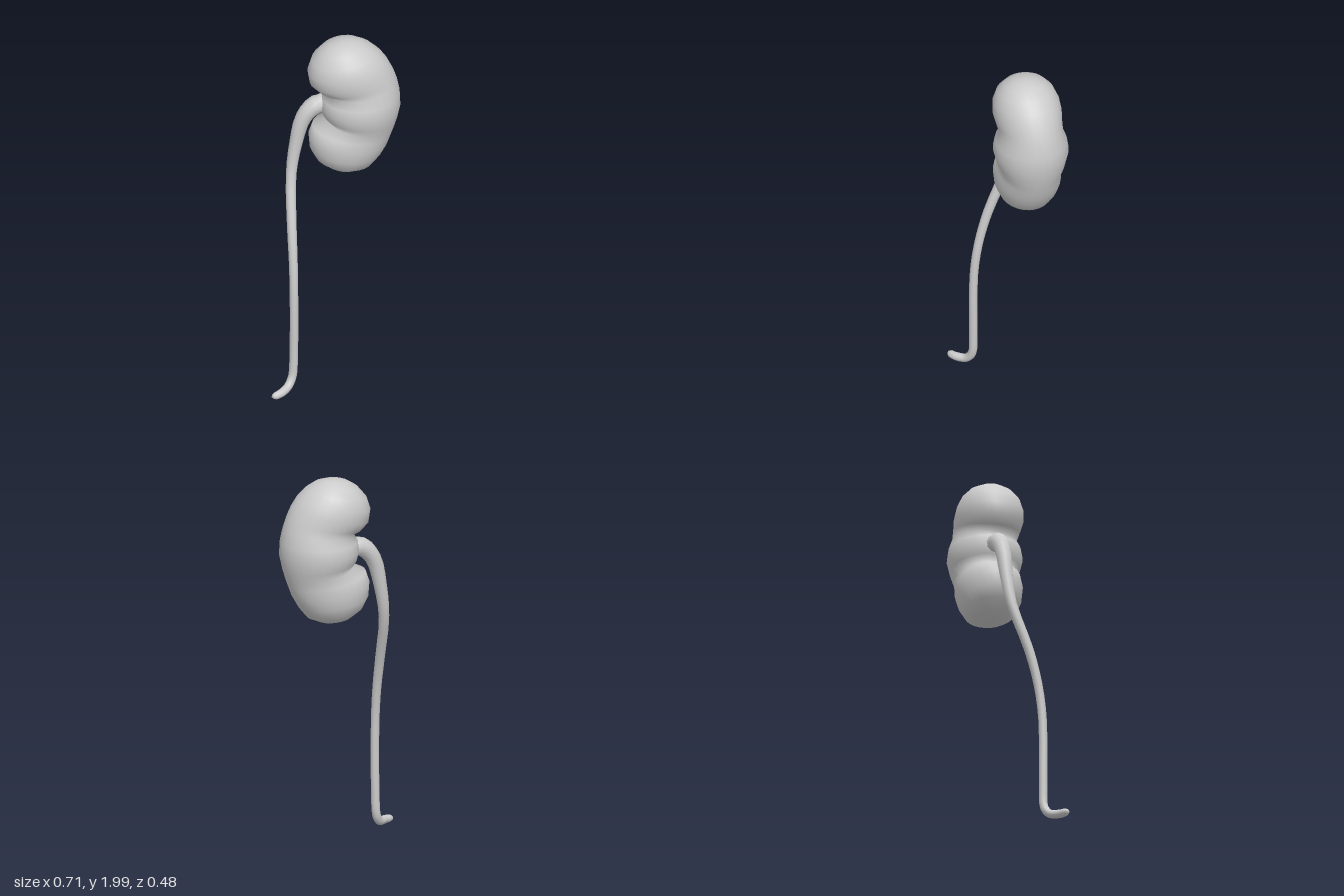
import * as THREE from 'three';

// Skins closed rings of points, with a pole point at each end
function loft(rings, startPole, endPole) {
  const n = rings[0].length, pos = [], index = [];
  for (const ring of rings) for (const p of ring) pos.push(p.x, p.y, p.z);
  for (let i = 0; i < rings.length - 1; i++) {
    for (let j = 0; j < n; j++) {
      const a = i * n + j, b = i * n + (j + 1) % n;
      index.push(a, a + n, b, b, a + n, b + n);
    }
  }
  const first = rings.length * n, last = (rings.length - 1) * n;
  pos.push(startPole.x, startPole.y, startPole.z, endPole.x, endPole.y, endPole.z);
  for (let j = 0; j < n; j++) {
    const k = (j + 1) % n;
    index.push(first, j, k, first + 1, last + k, last + j);
  }
  const g = new THREE.BufferGeometry();
  g.setAttribute('position', new THREE.Float32BufferAttribute(pos, 3));
  g.setIndex(index);
  g.computeVertexNormals();
  return g;
}

// Kidney sections from bottom to top: inner x, y, outer x, y, half depth
const sections = [
  [-0.03, 1.262, 0.15, 1.241, 0.085],
  [-0.085, 1.31, 0.21, 1.268, 0.135],
  [-0.115, 1.37, 0.255, 1.325, 0.16],
  [-0.12, 1.44, 0.288, 1.385, 0.17],
  [-0.1, 1.5, 0.306, 1.435, 0.165],
  [-0.025, 1.535, 0.32, 1.475, 0.158],
  [-0.05, 1.57, 0.336, 1.53, 0.177],
  [-0.062, 1.62, 0.353, 1.61, 0.193],
  [-0.055, 1.67, 0.35, 1.68, 0.183],
  [-0.03, 1.71, 0.336, 1.75, 0.162],
  [-0.075, 1.724, 0.318, 1.805, 0.166],
  [-0.115, 1.765, 0.292, 1.86, 0.174],
  [-0.125, 1.83, 0.258, 1.91, 0.168],
  [-0.105, 1.895, 0.21, 1.955, 0.145],
  [-0.06, 1.95, 0.16, 1.984, 0.105],
  [-0.01, 1.983, 0.115, 1.997, 0.055],
];

function kidneyGeometry() {
  const z0 = -0.05, sides = 28;
  const rings = sections.map(([xi, yi, xo, yo, d]) =>
    Array.from({ length: sides }, (_, j) => {
      const a = (j / sides) * Math.PI * 2, t = (1 + Math.cos(a)) / 2;
      return new THREE.Vector3(xi + (xo - xi) * t, yi + (yo - yi) * t, z0 - d * Math.sin(a));
    }));
  return loft(rings, new THREE.Vector3(0.06, 1.238, z0), new THREE.Vector3(0.055, 2, z0));
}

// Ureter path: x, y, z, radius
const path = [
  [0.0, 1.625, -0.06, 0.052],
  [-0.08, 1.62, -0.06, 0.05],
  [-0.145, 1.55, -0.058, 0.042],
  [-0.185, 1.4, -0.055, 0.034],
  [-0.213, 1.22, -0.035, 0.027],
  [-0.224, 0.97, 0.055, 0.025],
  [-0.224, 0.78, 0.105, 0.023],
  [-0.224, 0.58, 0.13, 0.022],
  [-0.226, 0.2, 0.132, 0.022],
  [-0.233, 0.09, 0.135, 0.022],
  [-0.258, 0.046, 0.158, 0.022],
  [-0.298, 0.036, 0.198, 0.022],
  [-0.33, 0.033, 0.215, 0.02],
  [-0.346, 0.031, 0.219, 0.013],
];

function ureterGeometry() {
  const sides = 12, steps = 39;
  const points = path.map(([x, y, z]) => new THREE.Vector3(x, y, z));
  const curve = new THREE.CatmullRomCurve3(points, false, 'centripetal');
  const up = new THREE.Vector3(1, 0, -1).normalize();
  const side = up.clone().cross(new THREE.Vector3(0, 1, 0)).normalize();
  const rings = [];
  for (let i = 0; i <= steps; i++) {
    const t = i / steps, k = t * (path.length - 1);
    const i0 = Math.min(Math.floor(k), path.length - 2);
    const r = THREE.MathUtils.lerp(path[i0][3], path[i0 + 1][3], k - i0);
    const p = curve.getPoint(t), tangent = curve.getTangent(t);
    // Frame kept stable by projecting a fixed sideways direction
    const u = side.clone().addScaledVector(tangent, -side.dot(tangent)).normalize();
    const v = tangent.clone().cross(u);
    rings.push(Array.from({ length: sides }, (_, j) => {
      const a = (-j / sides) * Math.PI * 2;
      return p.clone().addScaledVector(u, r * Math.cos(a)).addScaledVector(v, r * Math.sin(a));
    }));
  }
  // Rings run clockwise about the path, so flip them to face outward
  rings.forEach((ring) => ring.reverse());
  return loft(rings, points[0], new THREE.Vector3(-0.354, 0.03, 0.221));
}

export function createModel() {
  const group = new THREE.Group();
  group.name = 'kidneyWithUreter';
  const material = new THREE.MeshStandardMaterial({ color: 0xcccccc, side: THREE.DoubleSide });
  const parts = { kidney: kidneyGeometry(), ureter: ureterGeometry() };
  for (const [name, geometry] of Object.entries(parts)) {
    const mesh = new THREE.Mesh(geometry, material);
    mesh.name = name;
    group.add(mesh);
  }
  return group;
}
